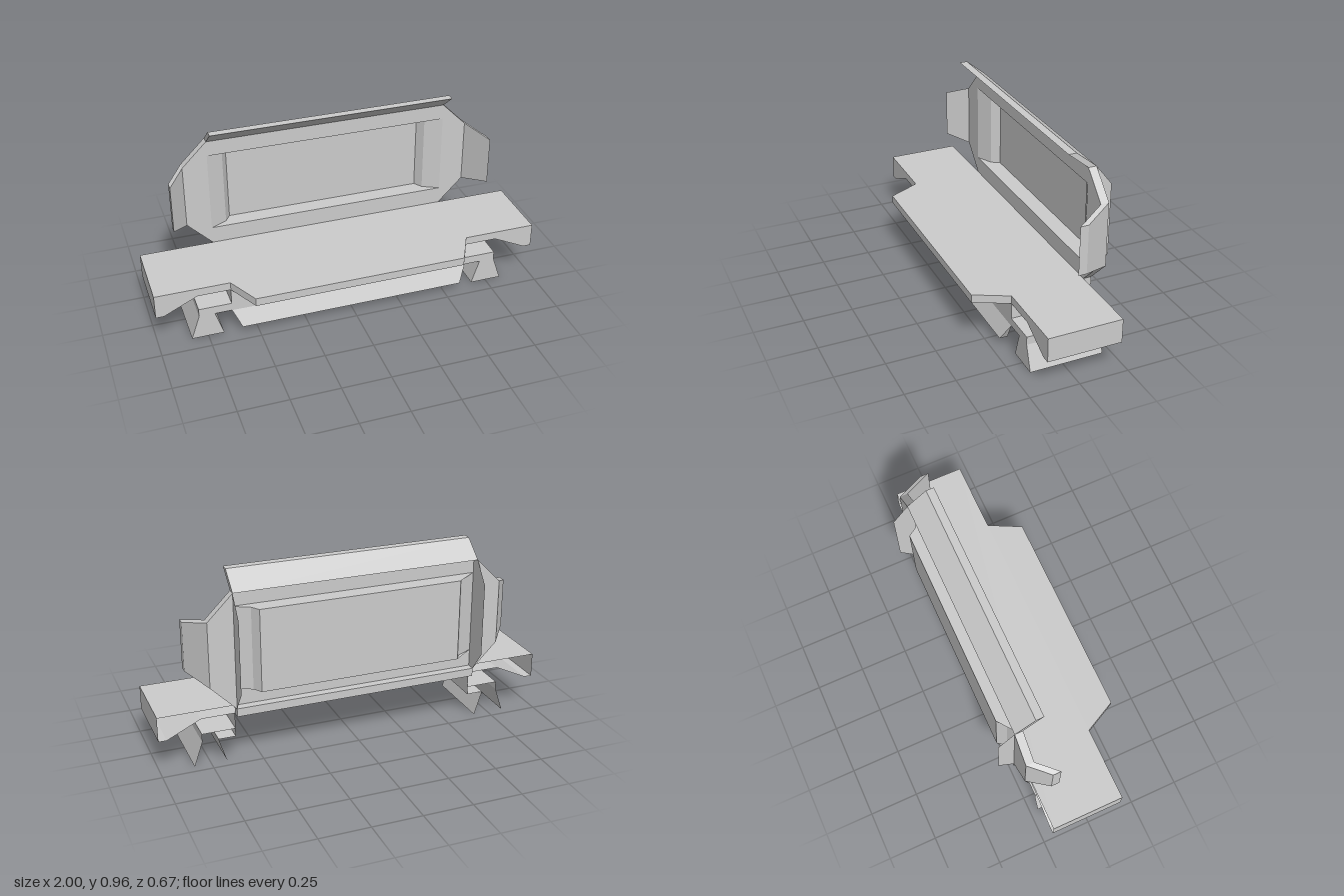
import * as THREE from 'three';

const material = new THREE.MeshStandardMaterial({ color: 0xcccccc, flatShading: true, side: THREE.DoubleSide });

function add(group, name, geometry) {
  const mesh = new THREE.Mesh(geometry, material);
  mesh.name = name;
  group.add(mesh);
}

// Flat-sided surface from a list of convex corner loops
function faces(loops) {
  const p = [];
  for (const l of loops)
    for (let i = 1; i < l.length - 1; i++) p.push(...l[0], ...l[i], ...l[i + 1]);
  const g = new THREE.BufferGeometry();
  g.setAttribute('position', new THREE.Float32BufferAttribute(p, 3));
  g.computeVertexNormals();
  return g;
}

// Quads joining two open polylines
const strip = (a, b) => a.slice(1).map((_, i) => [a[i], a[i + 1], b[i + 1], b[i]]);

// Closed solid between two matching convex loops
const prism = (a, b) => faces([a, [...b].reverse(), ...strip([...b, b[0]], [...a, a[0]])]);

const shape = (pts) => new THREE.Shape(pts.map(([x, y]) => new THREE.Vector2(x, y)));

const W = 0.624, BACK = -0.208, FRONT = 0.167, REAR = -0.25;
const DESK = 0.292, UNDER = 0.25;

// Place a side profile of [y, z] points at a given x
const sideAt = (pts, x) => pts.map(([y, z]) => [x, y, z]);

function createModel() {
  const model = new THREE.Group();
  model.name = 'console';

  // Desk top with drooping ends, open at the rear
  const half = [[1, DESK], [1, 0.168], [0.96, 0.168], [0.79, UNDER]];
  const profile = [...half, ...half.map(([x, y]) => [-x, y]).reverse()];
  const deskAt = (z) => [...profile, profile[0]].map(([x, y]) => [x, y, z]);
  add(model, 'deskShell', faces(strip(deskAt(BACK), deskAt(FRONT))));
  add(model, 'deskEdge', new THREE.ShapeGeometry(shape(profile)).translate(0, 0, FRONT));

  // Front bulge of the desk
  const bulge = (y) => [[-W, y, FRONT], [-0.54, y, 0.333], [0.54, y, 0.333], [W, y, FRONT]];
  add(model, 'deskFront', prism(bulge(DESK), bulge(UNDER)));

  // Hollow base: front wall and two side walls
  const baseTop = [[-W, UNDER, BACK], [-W, UNDER, FRONT], [W, UNDER, FRONT], [W, UNDER, BACK]];
  add(model, 'baseWalls', faces(strip(baseTop, baseTop.map(([x, , z]) => [x, 0.126, z]))));

  // Kick panel sloping out below the base
  add(model, 'kickPanel', faces(strip(
    [[-W, 0.126, FRONT], [-W, 0.126, FRONT], [W, 0.126, FRONT], [W, 0.126, FRONT]],
    [[-0.583, 0.042, FRONT], [-0.583, 0.042, 0.208], [0.583, 0.042, 0.208], [0.583, 0.042, FRONT]])));

  // Backrest: rear lip of the desk and frame rails that are open behind
  const lip = [[UNDER, BACK], [DESK, BACK], [DESK, REAR], [UNDER, REAR]];
  add(model, 'deskLip', prism(sideAt(lip, -W), sideAt(lip, W)));
  const lower = [[DESK, BACK], [0.38, BACK]];
  add(model, 'lowerRail', faces(strip(sideAt(lower, -W), sideAt(lower, W))));
  const upper = [[0.797, BACK], [0.876, BACK], [0.876, REAR]];
  add(model, 'upperRail', faces(strip(sideAt(upper, -W), sideAt(upper, W))));

  // Recessed panel: sides slope back from the wings, centre bulges to the rear
  const tray = [[-W, BACK], [-0.54, REAR], [-0.512, -0.293], [0.512, -0.293], [0.54, REAR], [W, BACK]];
  const at = (y) => tray.map(([x, z]) => [x, y, z]);
  add(model, 'recessedPanel', faces([...strip(at(0.38), at(0.797)), at(0.38), at(0.797)]));

  // Canopy leaning forward over the panel
  const lean = [[0.876, BACK], [0.876, REAR], [0.96, -0.146], [0.96, -0.105]];
  add(model, 'canopy', prism(sideAt(lean, -W), sideAt(lean, W)));

  for (const s of [1, -1]) {
    const side = s > 0 ? 'left' : 'right';

    // Wing: flat inner plate and a tip bent forward
    const plate = (z) => [[W, DESK], [W, 0.876], [0.75, 0.75], [0.75, 0.42]].map(([x, y]) => [s * x, y, z]);
    add(model, side + 'WingPlate', prism(plate(BACK), plate(REAR)));
    const tip = (zIn, zOut) => [[s * 0.75, 0.42, zIn], [s * 0.75, 0.75, zIn],
      [s * 0.833, 0.71, zOut], [s * 0.833, 0.46, zOut]];
    const reach = s > 0 ? -0.063 : -0.107;
    add(model, side + 'WingTip', prism(tip(BACK, reach), tip(REAR, reach - 0.042)));

    // Thin fin behind the backrest
    const fin = [[DESK, REAR], [0.4, -0.333], [0.77, -0.333], [0.876, REAR]];
    add(model, side + 'Fin', faces([sideAt(fin, s * W)]));

    // Leg: shell open at the bottom and rear, closed at the front
    const leg = [[0.67, 0], [0.71, 0.126], [W, 0.126], [W, 0.168], [0.79, 0.168], [0.79, 0.126], [0.833, 0]]
      .map(([x, y]) => [s * x, y]);
    const legAt = (z) => leg.map(([x, y]) => [x, y, z]);
    add(model, side + 'LegShell', faces(strip(legAt(BACK), legAt(FRONT))));
    add(model, side + 'LegFront', new THREE.ShapeGeometry(shape(leg)).translate(0, 0, FRONT));
  }
  return model;
}

export { createModel };
